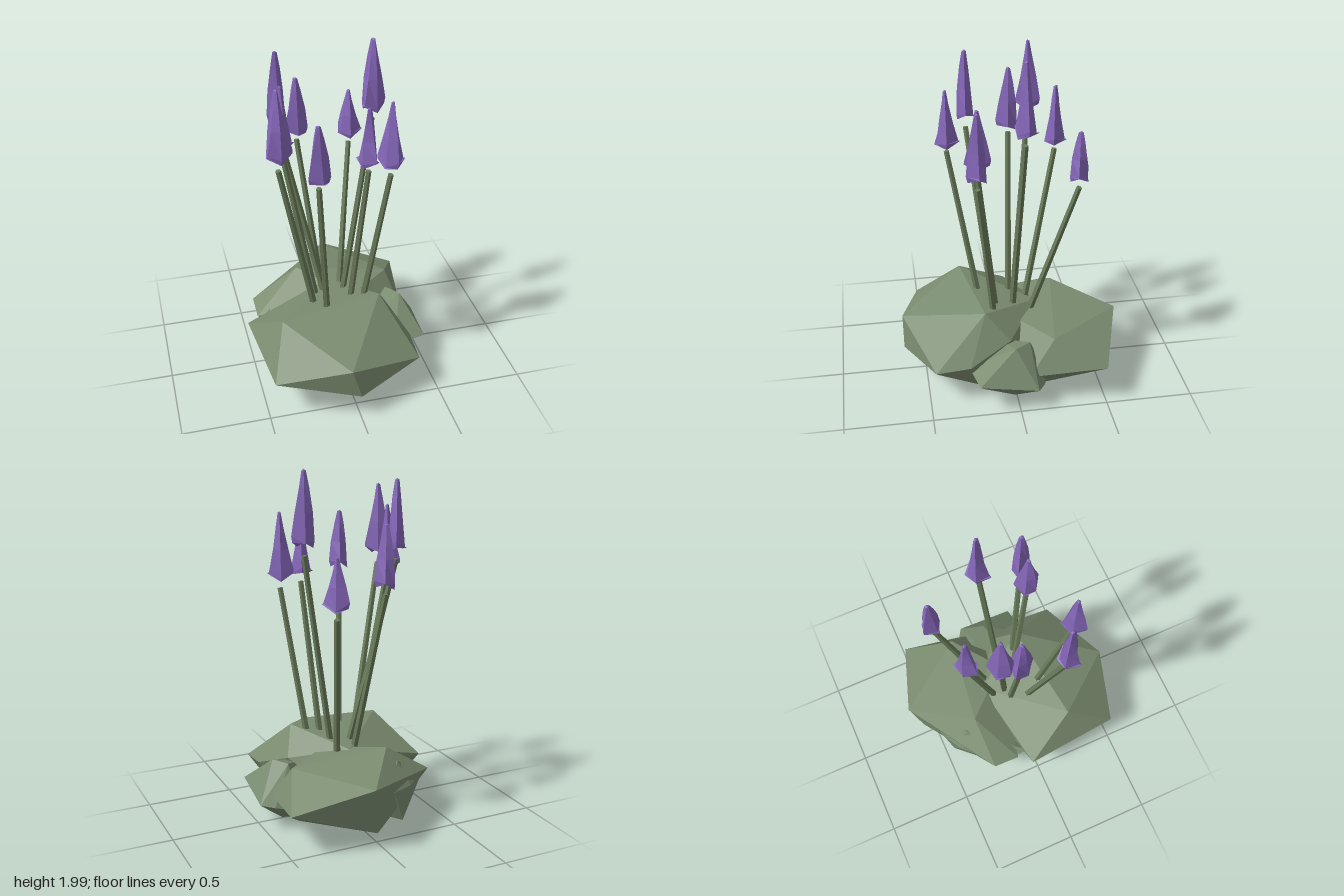
import * as THREE from 'three';
import { ConvexGeometry } from 'three/addons/geometries/ConvexGeometry.js';

const mat = (color) => new THREE.MeshStandardMaterial({ color, flatShading: true });
const leafMat = mat(0x7a8c70), stemMat = mat(0x6a7c5a), petalMat = mat(0x8667ba);

// Corner points of the faceted mounds
const mounds = {
  frontMound: [
    [-0.365, 0.48, 0.25], [0.225, 0.51, 0.165], [0, 0.43, -0.165],
    [-0.52, 0.275, -0.05], [-0.465, 0.26, 0.515], [-0.055, 0.355, 0.625],
    [0, 0.17, 0.625], [0.385, 0.24, 0.465], [0.39, 0.26, 0.27], [0.3, 0.36, 0.03],
    [-0.315, 0.01, 0.17], [0.25, 0.015, 0.17], [-0.36, 0.04, 0.02], [0.1, 0.2, -0.2],
  ],
  backMound: [
    [0.075, 0.38, -0.63], [0.5, 0.255, -0.495], [0.375, 0.4, -0.21], [0.44, 0.2, -0.06],
    [-0.17, 0.46, -0.285], [-0.45, 0.28, -0.275], [-0.45, 0.26, -0.12],
    [0.03, 0.1, -0.57], [0.3, 0.04, -0.14], [-0.1, 0.15, -0.1], [0.1, 0.4, 0],
  ],
  rightMound: [
    [0.52, 0.16, -0.1], [0.495, 0.2, 0.23], [0.4, 0.375, 0.015], [0.34, 0.37, -0.075],
    [0.45, 0.15, -0.145], [0.35, 0.01, 0.01], [0.3, 0.21, 0.275], [0.18, 0.3, 0.1],
    [0.3, 0.12, -0.18], [0.15, 0.03, -0.12], [0.18, 0.02, 0.1],
  ],
  rearMound: [
    [-0.44, 0.24, -0.23], [-0.43, 0.26, -0.05], [-0.38, 0.04, -0.1], [-0.19, 0.08, -0.45],
    [-0.11, 0.28, -0.5], [-0.25, 0.27, -0.43], [-0.2, 0.4, -0.36], [0.1, 0.1, -0.1],
  ],
};

// Stem foot x, z; stem top x, y, z; bud bottom and tip heights
const flowers = [
  [0.06, -0.125, 0.175, 1.25, -0.365, 1.3, 1.58],
  [-0.055, -0.11, -0.15, 1.34, -0.29, 1.38, 1.72],
  [-0.055, -0.04, -0.285, 1.5, -0.155, 1.55, 1.94],
  [-0.11, -0.02, -0.285, 1.4, -0.045, 1.43, 1.79],
  [-0.14, 0.075, -0.35, 1.42, 0.19, 1.48, 1.88],
  [-0.085, 0.16, -0.165, 1.36, 0.32, 1.39, 1.72],
  [0.07, 0.08, 0.14, 1.35, 0.185, 1.39, 1.72],
  [0.14, 0.1, 0.26, 1.32, 0.2, 1.37, 1.75],
  [0.05, -0.02, 0.225, 1.54, -0.06, 1.59, 2.0],
];

// Five-sided tapering bud with an irregular outline
function budGeometry(height, seed) {
  const profile = [[0, 0.07], [0.064, 0.04], [0.062, 0.09], [0.044, 0.45], [0.025, 0.76], [0.011, 0.98], [0, 1]]
    .map(([r, y]) => new THREE.Vector2(r, y * height));
  const g = new THREE.LatheGeometry(profile, 5, seed * 1.3);
  const p = g.attributes.position;
  const rows = profile.length;
  for (let i = 0; i < p.count; i++) {
    const side = Math.floor(i / rows) % 5, row = i % rows;
    if (row === 0 || row === rows - 1) continue;
    const n = Math.sin(seed * 7.1 + side * 2.4 + row * 0.8);
    const k = 1 + 0.25 * n;
    p.setXYZ(i, p.getX(i) * k, p.getY(i) + (row < 3 ? 0.025 * n : 0), p.getZ(i) * k);
  }
  return g;
}

export function createModel() {
  const model = new THREE.Group();

  for (const [name, points] of Object.entries(mounds)) {
    const mesh = new THREE.Mesh(new ConvexGeometry(points.map((p) => new THREE.Vector3(...p))), leafMat);
    mesh.name = name;
    model.add(mesh);
  }

  flowers.forEach(([fx, fz, tx, ty, tz, y0, y1], i) => {
    const flower = new THREE.Group();
    flower.name = 'flower' + (i + 1);

    // Straight leaning stem
    const foot = new THREE.Vector3(fx, 0.42, fz), top = new THREE.Vector3(tx, ty, tz);
    const dir = top.clone().sub(foot);
    const stem = new THREE.Mesh(new THREE.CylinderGeometry(0.016, 0.02, dir.length(), 5), stemMat);
    stem.name = 'stem';
    stem.position.copy(foot).lerp(top, 0.5);
    stem.quaternion.setFromUnitVectors(new THREE.Vector3(0, 1, 0), dir.normalize());

    // Bud floating just above the stem
    const bud = new THREE.Mesh(budGeometry(y1 - y0, i + 1), petalMat);
    bud.name = 'bud';
    bud.position.set(tx, y0, tz);

    flower.add(stem, bud);
    model.add(flower);
  });

  return model;
}
